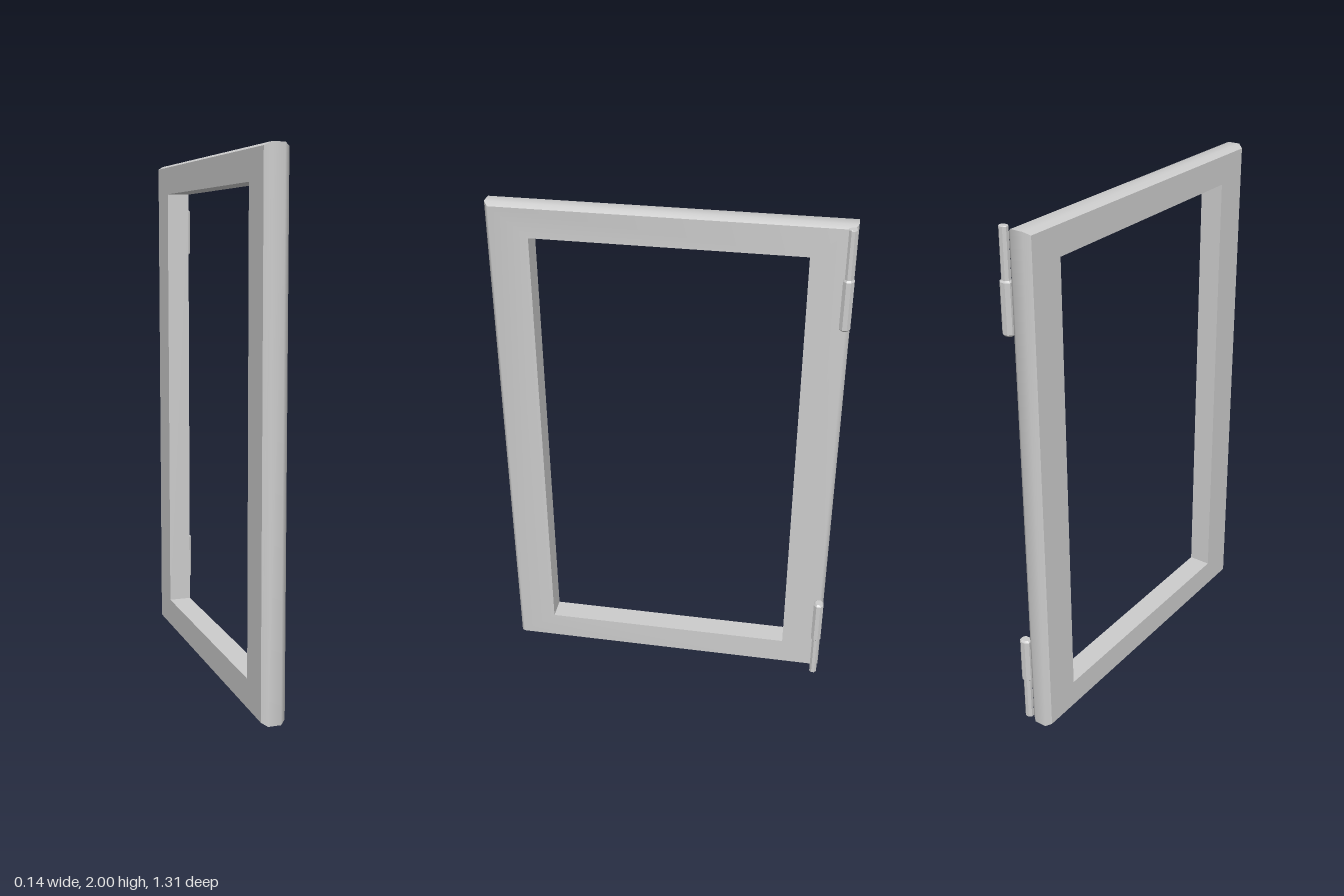
import * as THREE from 'three';
import { toCreasedNormals } from 'three/addons/utils/BufferGeometryUtils.js';

const material = new THREE.MeshStandardMaterial({ color: 0xcccccc });

// Mitred frame: one profile swept around four corners.
// Profile points are [fraction of the way inwards, x].
function frameGeometry() {
  const profile = [[0, -0.048], [0, 0], [0.1, 0.02], [1, 0.02], [1, -0.07], [0.1, -0.07]];
  const corners = [[1, -1], [-1, -1], [-1, 1], [1, 1]]; // z sign, y sign
  const positions = [];
  const index = [];
  const n = profile.length;
  corners.forEach(([sz, sy], i) => {
    profile.forEach(([t, x], j) => {
      positions.push(x, 1 + sy * (1 - 0.122 * t), sz * (0.655 - 0.157 * t));
      const a = i * n + j;
      const b = i * n + (j + 1) % n;
      const next = ((i + 1) % 4 - i) * n;
      index.push(a, a + next, b, b, a + next, b + next);
    });
  });
  const geometry = new THREE.BufferGeometry();
  geometry.setAttribute('position', new THREE.Float32BufferAttribute(positions, 3));
  geometry.setIndex(index);
  return toCreasedNormals(geometry, 0.95);
}

// Eight-sided rod with bevelled ends, flats facing the axes
function rodGeometry(radius, y0, y1, bevel) {
  const points = [
    [0, y0], [radius - bevel, y0], [radius, y0 + bevel],
    [radius, y1 - bevel], [radius - bevel, y1], [0, y1],
  ].map(([r, y]) => new THREE.Vector2(r, y));
  const geometry = new THREE.LatheGeometry(points, 8, Math.PI / 8);
  geometry.scale(1.07, 1, 0.95);
  return toCreasedNormals(geometry, 0.6);
}

// Barrel plus a thinner pin; end = 1 points the pin up, -1 down
function makeHinge(end) {
  const hinge = new THREE.Group();
  const span = (from, to) => (end > 0 ? [from, to] : [2 - to, 2 - from]);
  const barrel = new THREE.Mesh(rodGeometry(0.0225, ...span(1.625, 1.82), 0.007), material);
  barrel.name = 'hingeBarrel';
  const pin = new THREE.Mesh(rodGeometry(0.0165, ...span(1.81, 2), 0.002), material);
  pin.name = 'hingePin';
  hinge.add(barrel, pin);
  hinge.position.set(0.044, 0, -0.637);
  hinge.name = end > 0 ? 'upperHinge' : 'lowerHinge';
  return hinge;
}

export function createModel() {
  const model = new THREE.Group();
  model.name = 'hingedFrame';
  const frame = new THREE.Mesh(frameGeometry(), material);
  frame.name = 'frame';
  model.add(frame, makeHinge(1), makeHinge(-1));
  return model;
}
